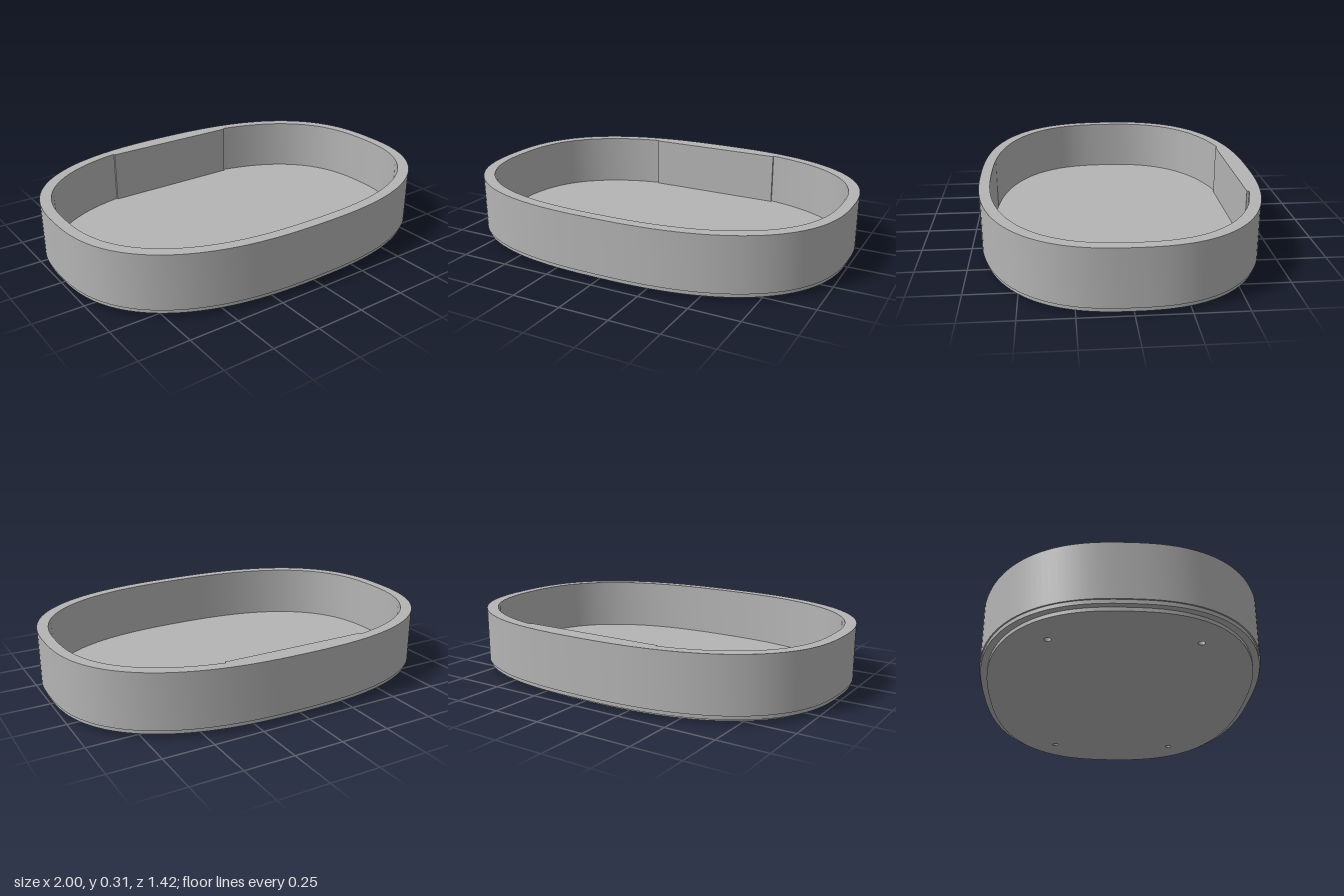
import * as THREE from 'three';
import { toCreasedNormals } from 'three/addons/utils/BufferGeometryUtils.js';

const POWER = 2.5;

// Rounded oval outline with half sizes a (x) and b (z)
function oval(a, b, count = 144) {
  const points = [];
  for (let i = 0; i < count; i++) {
    const t = (i / count) * Math.PI * 2;
    const c = Math.cos(t), s = Math.sin(t);
    points.push(new THREE.Vector2(
      a * Math.sign(c) * Math.abs(c) ** (2 / POWER),
      b * Math.sign(s) * Math.abs(s) ** (2 / POWER)));
  }
  return points;
}

// Inner outline with a flat pad on the back wall
function cavity(a, b, padHalf, padDepth) {
  const edge = b * (1 - (padHalf / a) ** POWER) ** (1 / POWER);
  const points = oval(a, b).filter(p => p.y < 0 || Math.abs(p.x) > padHalf);
  const at = points.findIndex(p => p.y > 0 && p.x < -padHalf);
  points.splice(at, 0,
    new THREE.Vector2(padHalf, edge), new THREE.Vector2(padHalf, padDepth),
    new THREE.Vector2(-padHalf, padDepth), new THREE.Vector2(-padHalf, edge));
  return points;
}

export function createModel() {
  const group = new THREE.Group();
  const grey = new THREE.MeshStandardMaterial({ color: 0xb4b4b4 });
  grey.name = 'grey';

  // Upright slab between two heights, with optional holes
  function slab(name, outline, holes, y0, y1) {
    const shape = new THREE.Shape(outline);
    shape.holes.push(...holes);
    const geometry = new THREE.ExtrudeGeometry(shape, { depth: y1 - y0, bevelEnabled: false, curveSegments: 12 });
    geometry.rotateX(-Math.PI / 2);
    geometry.translate(0, y0, 0);
    const mesh = new THREE.Mesh(toCreasedNormals(geometry, 0.5), grey);
    mesh.name = name;
    group.add(mesh);
  }

  // Four small screw holes in the underside
  const screwHoles = [];
  for (const x of [-0.69, 0.69]) {
    for (const z of [-0.345, 0.345]) {
      screwHoles.push(new THREE.Path().absarc(x, z, 0.017, 0, Math.PI * 2, true));
    }
  }

  // Wall, floor and the stepped base below
  slab('wall', oval(1, 0.708), [new THREE.Path(cavity(0.945, 0.653, 0.375, 0.615))], 0.037, 0.315);
  slab('floor', oval(0.97, 0.68), [], 0.036, 0.041);
  slab('lip', oval(0.993, 0.702), screwHoles, 0.018, 0.037);
  slab('basePlate', oval(0.962, 0.67), screwHoles, 0, 0.018);
  return group;
}
